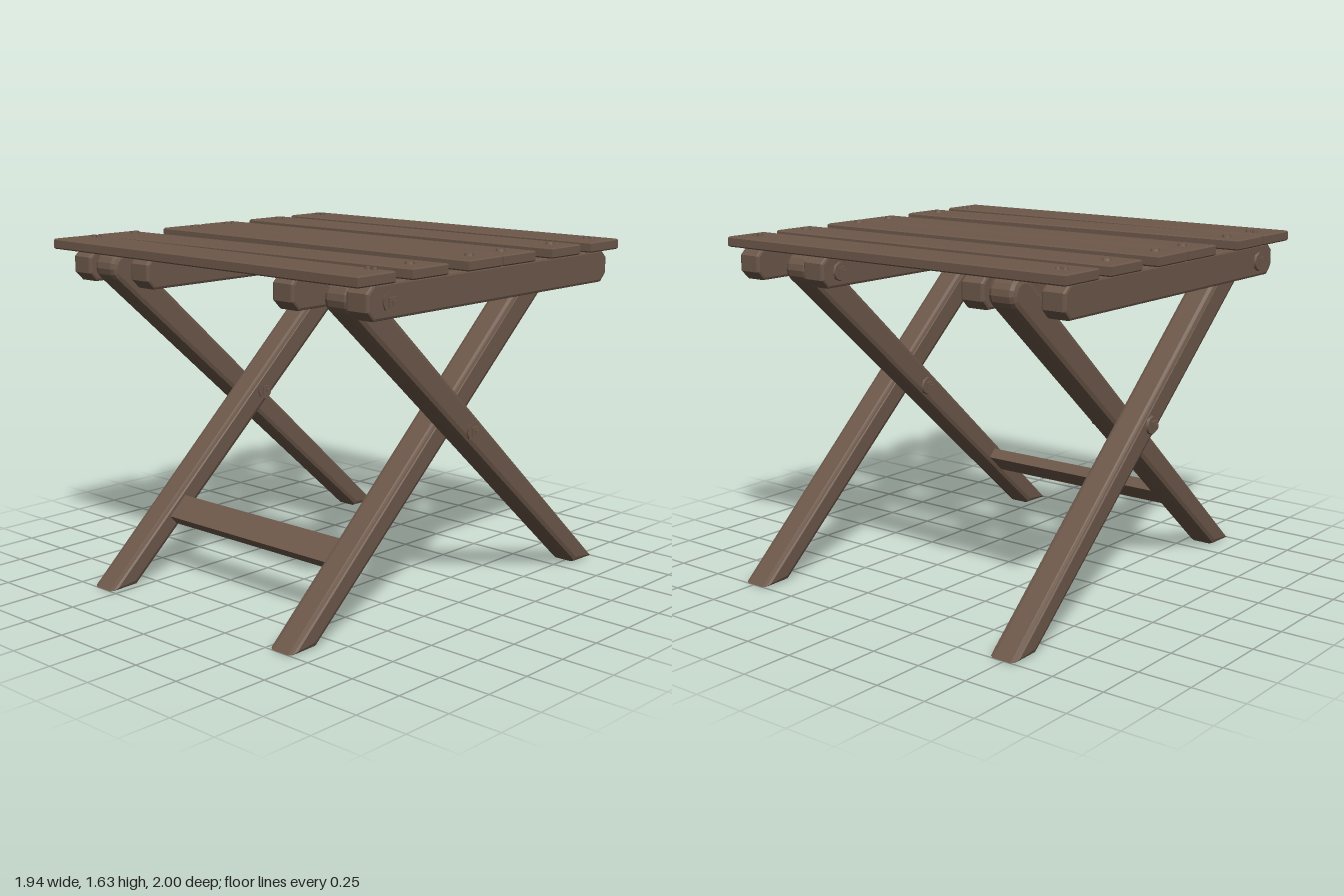
import * as THREE from 'three';

const wood = new THREE.MeshStandardMaterial({ color: 0x6d584a });
wood.name = 'weathered brown wood';

// Extrudes an outline to a total depth, with bevels kept inside the outline
function slab(points, depth, bevel, segments = 2) {
  const shape = new THREE.Shape(points.map(([a, b]) => new THREE.Vector2(a, b)));
  return new THREE.ExtrudeGeometry(shape, {
    depth: depth - 2 * bevel, bevelEnabled: true, bevelSize: bevel,
    bevelThickness: bevel, bevelOffset: -bevel, bevelSegments: segments,
  }).translate(0, 0, bevel - depth / 2);
}

// Outline given as [z, y], thickness along x
const sideSlab = (points, depth, bevel) => slab(points, depth, bevel).rotateY(-Math.PI / 2);

export function createModel() {
  const model = new THREE.Group();
  model.name = 'foldingStool';

  const add = (name, geometry, x = 0, y = 0, z = 0, parent = model) => {
    const mesh = new THREE.Mesh(geometry, wood);
    mesh.name = name;
    mesh.position.set(x, y, z);
    parent.add(mesh);
    return mesh;
  };

  // Washer and square nut; dir is the side along x it sticks out to
  const addBolt = (name, x, y, z, dir) => {
    const bolt = new THREE.Group();
    bolt.name = name;
    add('washer', new THREE.CylinderGeometry(0.042, 0.046, 0.012, 8).rotateZ(Math.PI / 2), 0.004 * dir, 0, 0, bolt);
    add('nut', new THREE.BoxGeometry(0.016, 0.042, 0.042), 0.014 * dir, 0, 0, bolt);
    add('boltEnd', new THREE.BoxGeometry(0.014, 0.018, 0.018), 0.026 * dir, 0, 0, bolt);
    bolt.position.set(x, y, z);
    model.add(bolt);
  };

  // Leg outline: slanted foot at the front, widening to a round top at the back
  const legOutline = (flip) => {
    const c = [-0.745, 1.492], r = 0.074;
    const along = Math.atan2(c[1], c[0] - 0.925);
    const pts = [[0.85, 0], [1, 0]];
    for (let i = 0; i <= 8; i++) {
      const a = along - Math.PI / 2 + (Math.PI * i) / 8;
      pts.push([c[0] + r * Math.cos(a), c[1] + r * Math.sin(a)]);
    }
    return flip ? pts.map(([z, y]) => [-z, y]).reverse() : pts;
  };

  // Rail outline with cut corners
  const e = 0.84, k = 0.04;
  const railOutline = [
    [-e, 1.46], [-e + k, 1.42], [e - k, 1.42], [e, 1.46],
    [e, 1.535], [e - k, 1.572], [-e + k, 1.572], [-e, 1.535],
  ];

  for (const s of [1, -1]) {
    const side = s > 0 ? 'left' : 'right';
    // Crossing legs
    add(side + 'InnerLeg', sideSlab(legOutline(false), 0.142, 0.025), s * 0.59);
    add(side + 'OuterLeg', sideSlab(legOutline(true), 0.142, 0.025), s * 0.738);
    // Seat rails
    add(side + 'InnerRail', sideSlab(railOutline, 0.12, 0.012), s * 0.458);
    add(side + 'OuterRail', sideSlab(railOutline, 0.12, 0.012), s * 0.872);
    // Bolts at the leg crossing and at the leg tops
    addBolt(side + 'OuterPivotBolt', s * 0.81, 0.82, 0, s);
    addBolt(side + 'InnerPivotBolt', s * 0.52, 0.82, 0, -s);
    addBolt(side + 'OuterRailBolt', s * 0.932, 1.492, 0.71, s);
    addBolt(side + 'InnerRailBolt', s * 0.398, 1.492, -0.73, -s);
  }

  // Stretcher between the inner legs, tilted with them
  const stretcher = add('stretcher',
    slab([[-0.065, -0.028], [0.065, -0.028], [0.065, 0.028], [-0.065, 0.028]], 1.06, 0.003, 1)
      .rotateY(-Math.PI / 2), 0, 0.315, 0.57);
  stretcher.rotation.x = Math.atan2(1.492, 1.67);

  // Seat slats: back and front edge at the right end, then at the left end
  const slats = [
    [-0.89, -0.66, -0.875, -0.65, -0.78],
    [-0.575, -0.345, -0.565, -0.345, -0.465],
    [-0.22, 0.005, -0.22, 0.01, -0.095],
    [0.02, 0.25, 0.02, 0.25, 0.125],
    [0.45, 0.67, 0.385, 0.61, 0.515],
    [0.695, 0.925, 0.715, 0.94, 0.75],
  ];
  slats.forEach(([b0, f0, b1, f1, nailZ], i) => {
    const outline = [[-0.97, -f0], [0.97, -f1], [0.97, -b1], [-0.97, -b0]];
    add('seatSlat' + (i + 1), slab(outline, 0.048, 0.006, 1).rotateX(-Math.PI / 2), 0, 1.596, 0);
    // Nails: two per end on the outermost slats, one on the others
    const pair = i === 0 || i === slats.length - 1;
    for (const s of [1, -1]) {
      for (const dx of pair ? [-0.018, 0.018] : [0]) {
        const r = pair ? 0.015 : 0.024;
        const nail = add('nail', new THREE.CylinderGeometry(r * 0.75, r, 0.014, 5), s * 0.87 + dx, 1.624, nailZ);
        nail.rotation.y = i * 1.3 + s;
      }
    }
  });

  return model;
}
